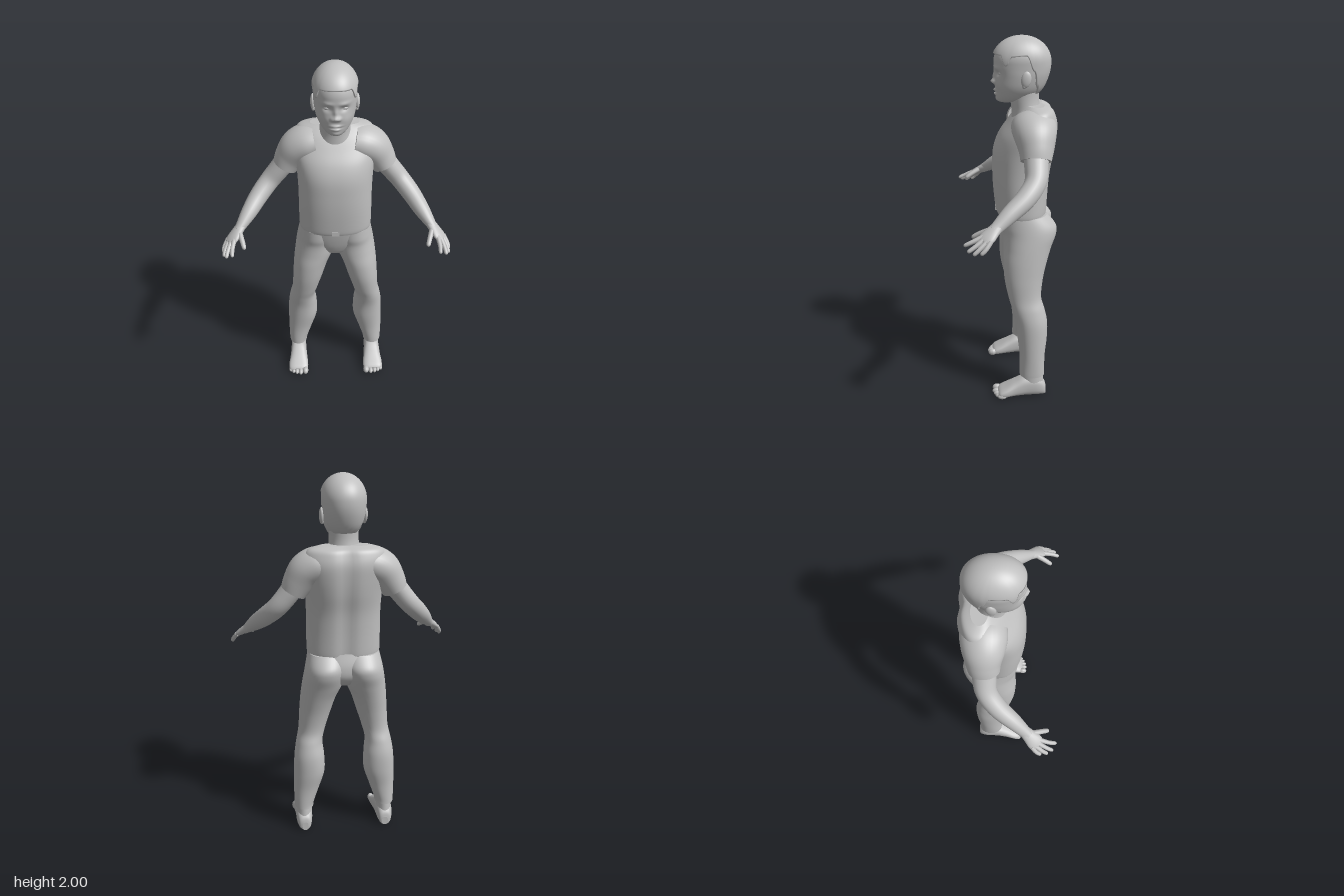
import * as THREE from 'three';

const grey = new THREE.MeshStandardMaterial({ color: 0xc0c0c0 });
grey.name = 'plain grey';

// Uniform Catmull-Rom through rows of numbers, n steps per span
function smooth(rows, n = 6) {
  const out = [], at = i => rows[Math.min(rows.length - 1, Math.max(0, i))];
  for (let i = 0; i < rows.length - 1; i++) for (let k = 0; k < n; k++) {
    const t = k / n, t2 = t * t, t3 = t2 * t;
    out.push(rows[i].map((b, c) => {
      const a = at(i - 1)[c], d = at(i + 1)[c], e = at(i + 2)[c];
      return 0.5 * (2 * b + (d - a) * t + (2 * a - 5 * b + 4 * d - e) * t2 + (3 * b - a - 3 * d + e) * t3);
    }));
  }
  out.push(rows[rows.length - 1]);
  return out;
}

// Skin over rings of [x, y, z], with sharp-edged end caps
function skin(rings, capStart = true, capEnd = true) {
  const pos = [], idx = [], n = rings[0].length;
  rings.forEach(r => r.forEach(p => pos.push(...p)));
  for (let i = 0; i < rings.length - 1; i++) for (let k = 0; k < n; k++) {
    const a = i * n + k, b = i * n + (k + 1) % n;
    idx.push(a, b, b + n, a, b + n, a + n);
  }
  const cap = (r, flip) => {
    const s = pos.length / 3;
    r.forEach(p => pos.push(...p));
    pos.push(...[0, 1, 2].map(c => r.reduce((m, p) => m + p[c], 0) / n));
    for (let k = 0; k < n; k++) {
      const a = s + k, b = s + (k + 1) % n;
      idx.push(flip ? b : a, flip ? a : b, s + n);
    }
  };
  if (capStart) cap(rings[0], true);
  if (capEnd) cap(rings[rings.length - 1], false);
  const g = new THREE.BufferGeometry();
  g.setAttribute('position', new THREE.Float32BufferAttribute(pos, 3));
  g.setIndex(idx);
  g.computeVertexNormals();
  return g;
}

const spow = (v, p) => Math.sign(v) * Math.abs(v) ** p;
const loop = (n, f) => Array.from({ length: n }, (_, k) => f(k / n * Math.PI * 2));

// Level ring: row = [y, xMin, xMax, zFront, zBack]
const level = ([y, x0, x1, zf, zb], a, p = 1) => [
  (x0 + x1) / 2 + (x1 - x0) / 2 * spow(Math.sin(a), p), y,
  (zf + zb) / 2 + (zf - zb) / 2 * spow(Math.cos(a), p)];
const stack = (rows, p = 1, n = 40) => skin(smooth(rows).map(r => loop(n, a => level(r, a, p))));

// Limb along rows [x, y, z, radiusAcross, radiusOther]; "across" sets the first axis
function limb(rows, across, n = 20, steps = 6) {
  const pts = smooth(rows, steps), V = r => new THREE.Vector3(r[0], r[1], r[2]);
  return skin(pts.map((r, i) => {
    const t = V(pts[Math.min(i + 1, pts.length - 1)]).sub(V(pts[Math.max(i - 1, 0)])).normalize();
    const s = new THREE.Vector3(...across).addScaledVector(t, -t.dot(new THREE.Vector3(...across))).normalize();
    const b = t.clone().cross(s);
    return loop(n, a => V(r).addScaledVector(s, r[3] * Math.cos(a)).addScaledVector(b, r[4] * Math.sin(a)).toArray());
  }));
}

function ball(x, y, z, sx, sy, sz, rx = 0) {
  return new THREE.SphereGeometry(1, 20, 14).scale(sx, sy, sz).rotateX(rx).translate(x, y, z);
}

function mirrored(geo) {
  const g = geo.clone().scale(-1, 1, 1), ix = g.index.array;
  for (let i = 0; i < ix.length; i += 3) [ix[i], ix[i + 1]] = [ix[i + 1], ix[i]];
  g.computeVertexNormals();
  return g;
}

// Skull outline by height: [y, halfWidth, zFront, zBack]
const jaw = smooth([
  [1.658, 0.02, 0.03, -0.02], [1.665, 0.042, 0.05, -0.06], [1.685, 0.068, 0.06, -0.13],
  [1.715, 0.088, 0.064, -0.168], [1.75, 0.101, 0.066, -0.19], [1.80, 0.109, 0.067, -0.208],
  [1.84, 0.111, 0.072, -0.216], [1.87, 0.112, 0.073, -0.217]], 8);
function skull(y) {
  if (y >= 1.87) {
    const s = Math.sqrt(Math.max(0, 1 - ((y - 1.87) / 0.12) ** 2));
    return [y, 0.112 * s, -0.072 + 0.145 * s, -0.072 - 0.145 * s];
  }
  const i = Math.max(1, jaw.findIndex(r => r[0] > y)), a = jaw[i - 1], b = jaw[i];
  const t = (y - a[0]) / (b[0] - a[0]);
  return a.map((v, c) => v + (b[c] - v) * t);
}
const skullPoint = (y, a) => { const [h, w, f, b] = skull(y); return level([h, -w, w, f, b], a, 0.94); };

// Face relief: [x, y, spreadX, spreadY, depth]
const relief = [
  [0, 1.767, 0.017, 0.013, 0.02], [0, 1.795, 0.011, 0.024, 0.011], [0.018, 1.762, 0.009, 0.009, 0.009],
  [0.042, 1.842, 0.028, 0.01, 0.005], [0.042, 1.813, 0.022, 0.014, -0.012], [0.052, 1.755, 0.028, 0.028, 0.005],
  [0, 1.723, 0.026, 0.006, 0.011], [0, 1.704, 0.022, 0.007, 0.01], [0, 1.7135, 0.026, 0.003, -0.007],
  [0, 1.677, 0.026, 0.014, 0.006]];
function facePoint(y, a) {
  const p = skullPoint(y, a);
  if (Math.cos(a) > 0) for (const [x, h, sx, sy, d] of relief)
    p[2] += d * Math.exp(-(((Math.abs(p[0]) - x) / sx) ** 2) - ((y - h) / sy) ** 2);
  return p;
}

// Lower hairline by angle from the front
const hairline = [[0, 1.908], [0.72, 1.905], [0.97, 1.855], [1.18, 1.9], [1.68, 1.905],
  [1.92, 1.83], [2.2, 1.75], [2.5, 1.705], [3.15, 1.69]];
function hairEdge(a) {
  const u = a > Math.PI ? Math.PI * 2 - a : a, i = hairline.findIndex(h => h[0] > u);
  const [p, q] = [hairline[i - 1], hairline[i]];
  return p[1] + (q[1] - p[1]) * THREE.MathUtils.smoothstep(u, p[0], q[0]);
}
function hairPoint(a, t, grow) {
  const e = hairEdge(a), [x, y, z] = skullPoint(1.9899 - (1.9899 - e) * t * t, a);
  return [x * grow, y > 1.87 ? 1.87 + (y - 1.87) * 1.083 : y, -0.072 + (z + 0.072) * grow];
}

export function createModel() {
  const model = new THREE.Group();
  const add = (name, geo) => {
    const m = new THREE.Mesh(geo, grey);
    m.name = name;
    model.add(m);
  };
  const pair = (name, geo) => { add(name + 'Left', geo); add(name + 'Right', mirrored(geo)); };

  // Head, neck and hair
  const heights = Array.from({ length: 90 }, (_, i) => 1.658 + 0.3319 * Math.sin(i / 89 * Math.PI / 2) ** 1.15);
  add('head', skin(heights.map(y => loop(112, a => facePoint(y, a)))));
  add('neck', stack([[1.56, -0.1, 0.1, -0.02, -0.19], [1.62, -0.083, 0.083, -0.02, -0.175],
    [1.68, -0.078, 0.078, -0.015, -0.166], [1.77, -0.08, 0.08, -0.02, -0.17]]));
  const hairRows = [loop(112, a => hairPoint(a, 1, 0.97))];
  for (let i = 0; i <= 32; i++) hairRows.push(loop(112, a => hairPoint(a, 1 - i / 32, 1.07)));
  add('hair', skin(hairRows, false, true));
  pair('eye', ball(0.043, 1.813, 0.033, 0.021, 0.013, 0.019));
  pair('ear', ball(0.113, 1.79, -0.085, 0.013, 0.042, 0.026, -0.15));
  pair('earLobe', ball(0.11, 1.757, -0.076, 0.01, 0.014, 0.012));

  // Shirt, with a shallow groove down the spine
  const shirt = smooth([[1.055, 0.197, 0.062, -0.21], [1.085, 0.2, 0.069, -0.213], [1.2, 0.2, 0.08, -0.22],
    [1.3, 0.2, 0.083, -0.23], [1.4, 0.205, 0.078, -0.25], [1.48, 0.215, 0.05, -0.26], [1.55, 0.222, 0, -0.262],
    [1.6, 0.212, -0.04, -0.25], [1.632, 0.185, -0.075, -0.232], [1.648, 0.13, -0.095, -0.195]]);
  add('shirt', skin(shirt.map(([y, w, f, b]) => loop(64, a => {
    const p = level([y, -w, w, f, b], a, 0.87);
    if (Math.cos(a) < 0) p[2] += 0.014 * Math.exp(-((p[0] / 0.04) ** 2));
    return p;
  }))));
  pair('sleeve', limb([[0.1, 1.555, -0.125, 0.115, 0.085], [0.15, 1.542, -0.125, 0.118, 0.095],
    [0.2, 1.51, -0.125, 0.108, 0.095], [0.24, 1.455, -0.125, 0.09, 0.083], [0.268, 1.405, -0.122, 0.08, 0.07]],
    [0, 0, 1], 32));
  add('buckle', new THREE.BoxGeometry(0.04, 0.026, 0.012).translate(0, 1.07, 0.064));

  // Arms and hands
  pair('arm', limb([[0.23, 1.48, -0.122, 0.068, 0.058], [0.295, 1.39, -0.12, 0.062, 0.056],
    [0.355, 1.318, -0.108, 0.056, 0.053], [0.415, 1.255, -0.052, 0.052, 0.05], [0.468, 1.198, 0.028, 0.044, 0.042],
    [0.51, 1.152, 0.09, 0.033, 0.028], [0.525, 1.137, 0.11, 0.03, 0.024]], [0, 0, 1], 24));
  const acrossHand = [-0.7, 0.25, 0.6];
  pair('palm', limb([[0.505, 1.157, 0.085, 0.03, 0.025], [0.53, 1.133, 0.118, 0.037, 0.022],
    [0.552, 1.112, 0.145, 0.043, 0.018], [0.565, 1.098, 0.163, 0.036, 0.013], [0.569, 1.094, 0.168, 0.02, 0.006]],
    acrossHand));
  const fingers = {
    thumb: [[0.52, 1.145, 0.115], [0.5, 1.118, 0.172], [0.485, 1.09, 0.218]],
    indexFinger: [[0.54, 1.118, 0.158], [0.549, 1.093, 0.215], [0.548, 1.073, 0.26]],
    middleFinger: [[0.556, 1.108, 0.158], [0.574, 1.077, 0.205], [0.583, 1.053, 0.243]],
    ringFinger: [[0.57, 1.102, 0.146], [0.59, 1.07, 0.184], [0.599, 1.043, 0.216]],
    littleFinger: [[0.577, 1.102, 0.13], [0.597, 1.071, 0.154], [0.605, 1.046, 0.18]]
  };
  for (const [name, [a, b, c]] of Object.entries(fingers)) {
    const r = name === 'thumb' ? 0.0135 : 0.0115, near = b.map((v, i) => v + (c[i] - v) * 0.8);
    pair(name, limb([[...a, r * 1.15, r * 1.15], [...b, r, r], [...near, r * 0.85, r * 0.85],
      [...c, r * 0.25, r * 0.25]], acrossHand, 12, 4));
  }

  // Trousers
  add('trouserSeat', stack([[0.868, -0.03, 0.03, -0.04, -0.13], [0.89, -0.08, 0.08, 0.0, -0.185],
    [0.94, -0.15, 0.15, 0.025, -0.222], [1.0, -0.195, 0.195, 0.042, -0.225], [1.07, -0.195, 0.195, 0.056, -0.205]], 0.9));
  pair('trouserLeg', stack([[0.13, 0.18, 0.288, -0.05, -0.19], [0.16, 0.175, 0.289, -0.05, -0.19],
    [0.25, 0.145, 0.29, -0.05, -0.193], [0.35, 0.114, 0.288, -0.04, -0.205], [0.45, 0.114, 0.283, -0.03, -0.206],
    [0.53, 0.122, 0.27, -0.01, -0.19], [0.6, 0.106, 0.255, 0.01, -0.172], [0.7, 0.075, 0.248, 0.03, -0.182],
    [0.8, 0.043, 0.24, 0.036, -0.206], [0.88, 0.008, 0.23, 0.032, -0.232], [0.95, -0.005, 0.218, 0.032, -0.258],
    [1.0, -0.008, 0.208, 0.042, -0.256], [1.06, -0.005, 0.195, 0.045, -0.206]], 0.95));

  // Feet, flat underneath
  const foot = smooth([[-0.2, 0.215, 0.25, 0.05], [-0.19, 0.2, 0.268, 0.08], [-0.15, 0.19, 0.28, 0.115],
    [-0.08, 0.186, 0.282, 0.118], [-0.02, 0.18, 0.287, 0.09], [0.03, 0.175, 0.295, 0.062],
    [0.062, 0.178, 0.292, 0.044], [0.075, 0.19, 0.28, 0.032]]);
  pair('foot', skin(foot.map(([z, x0, x1, top]) => loop(28, a => [
    (x0 + x1) / 2 + (x1 - x0) / 2 * spow(Math.cos(a), 0.75), top / 2 + top / 2 * spow(Math.sin(a), 0.75), z]))));
  pair('ankle', stack([[0.06, 0.19, 0.28, -0.06, -0.19], [0.1, 0.192, 0.278, -0.065, -0.185],
    [0.16, 0.195, 0.275, -0.07, -0.18]], 1, 24));
  [[0.192, 0.078, 0.018], [0.221, 0.081, 0.014], [0.245, 0.075, 0.013], [0.266, 0.066, 0.012], [0.284, 0.053, 0.012]]
    .forEach(([x, z, r], i) => pair('toe' + (i + 1), ball(x, r * 1.15, z, r, r * 1.15, 0.026)));

  return model;
}
